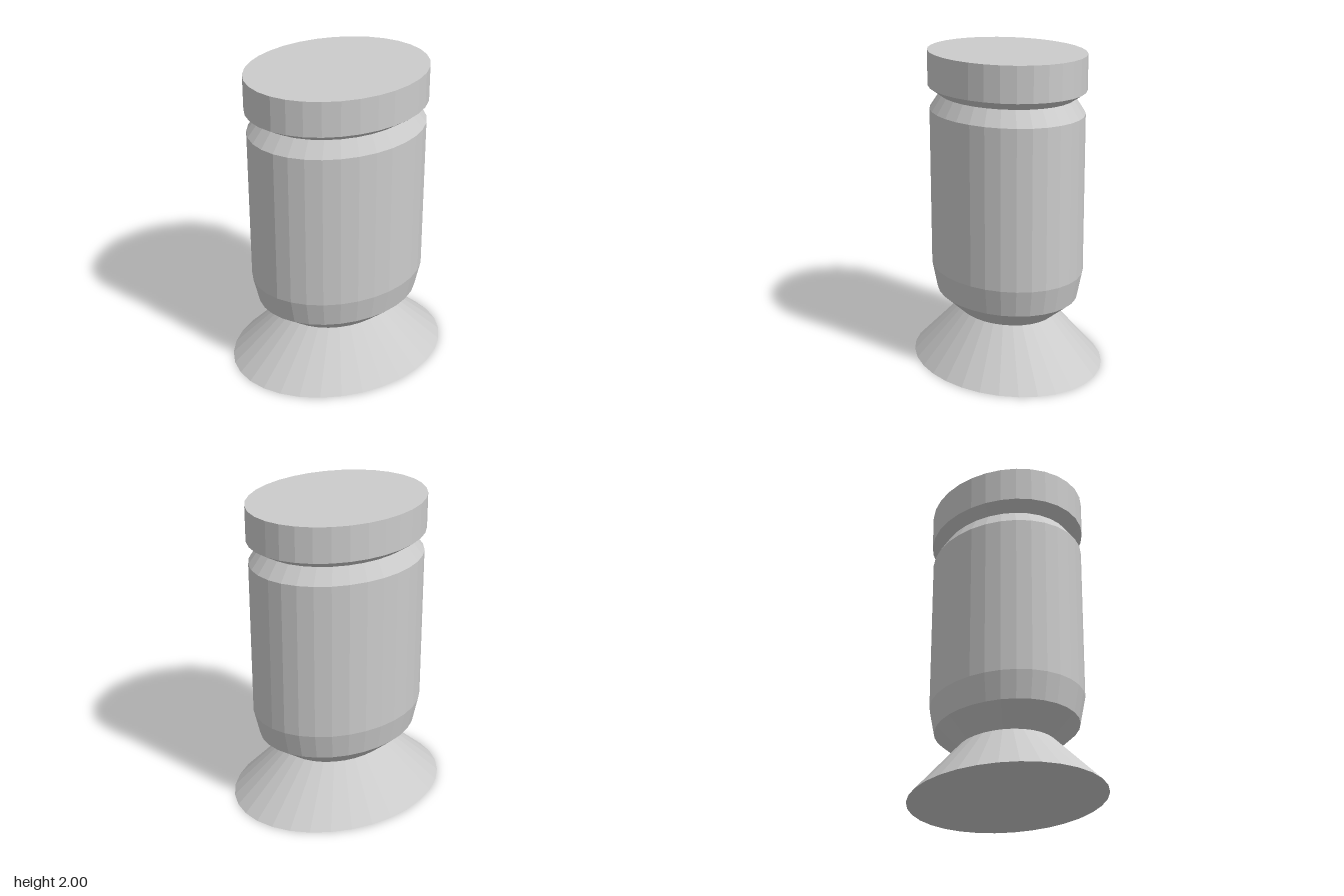
import * as THREE from 'three';

const SIDES = 32;
const DEPTH = 0.805; // oval plan: depth relative to width

export function createModel() {
  const group = new THREE.Group();
  group.name = 'ovalPedestalJar';
  const material = new THREE.MeshStandardMaterial({ color: 0xcccccc, flatShading: true });

  // Faceted oval ring turned from [radius, height] points, bottom to top
  const turned = (name, profile) => {
    const points = profile.map(([r, y]) => new THREE.Vector2(r, y));
    const geometry = new THREE.LatheGeometry(points, SIDES);
    geometry.scale(1, 1, DEPTH);
    const mesh = new THREE.Mesh(geometry, material);
    mesh.name = name;
    group.add(mesh);
  };

  // Flared foot with a closed underside
  turned('foot', [[0, 0], [0.73, 0], [0.372, 0.325]]);

  // Barrel body with tapered bottom and sloping shoulder
  turned('body', [[0.372, 0.325], [0.54, 0.45], [0.579, 0.62], [0.579, 1.63], [0.503, 1.727]]);

  // Lid with undercut edge and flat top
  turned('lid', [[0.503, 1.727], [0.59, 1.778], [0.59, 2], [0, 2]]);

  return group;
}
